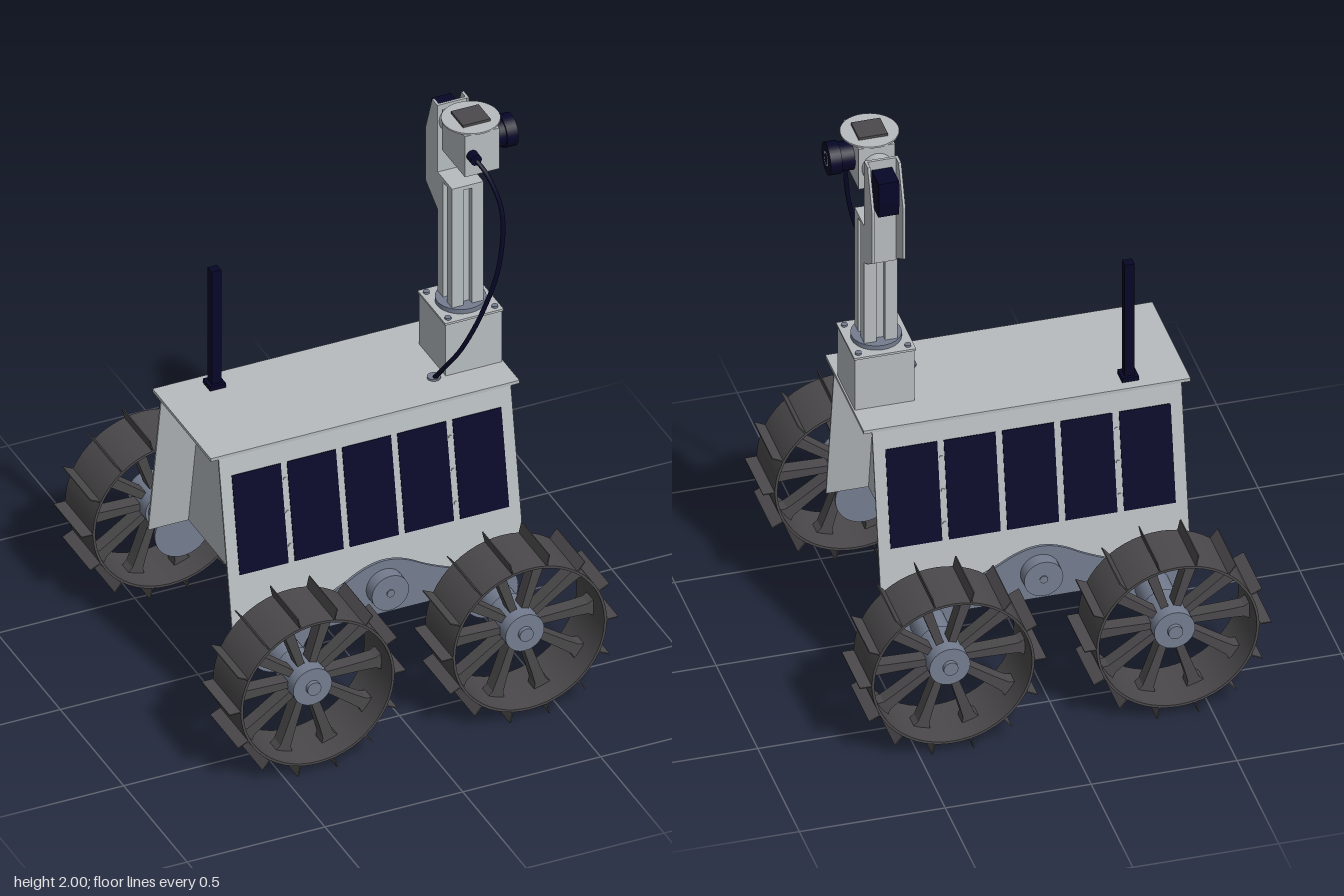
import * as THREE from 'three';

const mat = (name, color, side = THREE.FrontSide) => {
  const m = new THREE.MeshStandardMaterial({ color, side });
  m.name = name;
  return m;
};

export function createModel() {
  const grey = mat('light grey metal', 0xb7bcbf);
  const steel = mat('blue grey steel', 0x747d90);
  const rubber = mat('dark wheel grey', 0x4b494b, THREE.DoubleSide);
  const navy = mat('dark navy', 0x060628);

  const model = new THREE.Group();
  model.name = 'rover';

  // Helpers
  const add = (parent, name, geo, material, x = 0, y = 0, z = 0) => {
    const m = new THREE.Mesh(geo, material);
    m.name = name;
    m.position.set(x, y, z);
    parent.add(m);
    return m;
  };
  const group = (parent, name, x = 0, y = 0, z = 0) => {
    const g = new THREE.Group();
    g.name = name;
    g.position.set(x, y, z);
    parent.add(g);
    return g;
  };
  const box = (w, h, d) => new THREE.BoxGeometry(w, h, d);
  const cylY = (r, h, n = 32) => new THREE.CylinderGeometry(r, r, h, n);
  const cylZ = (r, z0, z1, n = 32) => cylY(r, z1 - z0, n).rotateX(Math.PI / 2).translate(0, 0, (z0 + z1) / 2);
  const cylX = (r, x0, x1, n = 32) => cylY(r, x1 - x0, n).rotateZ(-Math.PI / 2).translate((x0 + x1) / 2, 0, 0);
  const poly = (pts) => new THREE.Shape(pts.map(([a, b]) => new THREE.Vector2(a, b)));
  const extrude = (shape, depth) => new THREE.ExtrudeGeometry(shape, { depth, bevelEnabled: false, curveSegments: 20 });
  // Profile given as (z, y), extruded along x and centred
  const extrudeX = (pts, depth) =>
    extrude(poly(pts.map(([z, y]) => [-z, y])), depth).rotateY(Math.PI / 2).translate(-depth / 2, 0, 0);

  // Body with recessed end walls, and an overhanging lid
  const body = group(model, 'body');
  add(body, 'hull', extrudeX([[0.33, 0.385], [0.221, 1.003], [-0.221, 1.003], [-0.33, 0.385]], 0.77), grey);
  add(body, 'lid', box(1.12, 0.012, 0.46), grey, 0, 1.005, 0);
  // Braces under the lid overhang below the mast
  for (const z of [-0.085, 0, 0.085])
    add(body, 'gusset', extrude(poly([[0.383, 0.835], [0.53, 1], [0.383, 1]]), 0.008), grey, 0, 0, z - 0.004);

  // Suspension plate outline
  const rocker = new THREE.Shape();
  rocker.moveTo(-0.24, 0.34);
  rocker.lineTo(0.24, 0.34);
  rocker.quadraticCurveTo(0.28, 0.34, 0.3, 0.265);
  rocker.absarc(0.385, 0.315, 0.1, -2.6, 1.75, false);
  rocker.quadraticCurveTo(0.24, 0.44, 0.13, 0.5);
  rocker.quadraticCurveTo(0.06, 0.545, 0, 0.545);
  rocker.quadraticCurveTo(-0.06, 0.545, -0.13, 0.5);
  rocker.quadraticCurveTo(-0.24, 0.44, -0.367, 0.413);
  rocker.absarc(-0.385, 0.315, 0.1, Math.PI - 1.75, Math.PI + 2.6, false);
  rocker.quadraticCurveTo(-0.28, 0.34, -0.24, 0.34);

  const rimGeo = new THREE.CylinderGeometry(0.279, 0.279, 0.22, 56, 1, true).rotateX(Math.PI / 2);
  const rimInner = new THREE.CylinderGeometry(0.27, 0.27, 0.22, 56, 1, true).rotateX(Math.PI / 2);
  const rimEdge = new THREE.RingGeometry(0.27, 0.279, 56);
  const spokeGeo = extrude(poly([[0.06, -0.013], [0.2, -0.017], [0.25, -0.02], [0.274, -0.033],
    [0.274, 0.033], [0.25, 0.02], [0.2, 0.017], [0.06, 0.013]]), 0.05).translate(0, 0, -0.025);

  // Wheel with thin rim, ten spokes and fourteen treads
  const wheel = (parent, x) => {
    const w = group(parent, 'wheel', x, 0.315, 0.583);
    add(w, 'rim', rimGeo, rubber);
    add(w, 'rimInside', rimInner, rubber);
    for (const s of [-0.11, 0.11]) add(w, 'rimEdge', rimEdge, rubber, 0, 0, s);
    for (let i = 0; i < 10; i++) add(w, 'spoke', spokeGeo, rubber).rotation.z = i * Math.PI / 5;
    for (let i = 0; i < 14; i++) {
      const a = i * Math.PI / 7;
      add(w, 'tread', box(0.044, 0.004, 0.22), rubber, 0.298 * Math.cos(a), 0.298 * Math.sin(a)).rotation.z = a;
    }
    add(w, 'hub', cylZ(0.07, -0.07, 0.07), steel);
    add(w, 'hubCap', cylZ(0.025, 0.07, 0.085, 20), steel);
    add(w, 'wheelMotor', cylZ(0.06, -0.205, -0.07), steel);
  };

  // Side sheets, panels, suspension and wheels, repeated on both sides
  const slope = Math.atan2(0.109, 0.618);
  for (const [name, turn] of [['frontSide', 0], ['backSide', Math.PI]]) {
    const side = group(model, name);
    side.rotation.y = turn;
    add(side, 'sideSheet', extrudeX([[0.335, 0.385], [0.226, 1.003], [0.218, 1.003], [0.327, 0.385]], 1.06), grey);
    const face = group(side, 'solarArray', 0, 0.7525, 0.2702);
    face.rotation.x = -slope;
    for (let i = -2; i <= 2; i++) add(face, 'solarPanel', box(0.177, 0.361, 0.003), navy, i * 0.2, 0, 0.0015);
    for (const x of [-0.3, 0.3])
      for (const y of [-0.12, 0, 0.12]) add(face, 'panelBolt', cylZ(0.007, 0, 0.004, 10), grey, x, y, 0);
    add(side, 'rockerPlate', extrude(rocker, 0.01), steel, 0, 0, 0.373);
    add(side, 'pivotAxle', cylZ(0.017, 0.3, 0.38, 20), steel, 0, 0.445);
    add(side, 'pivotFlange', cylZ(0.03, 0.31, 0.333, 20), steel, 0, 0.445);
    add(side, 'pivotHub', cylZ(0.067, 0.38, 0.43), steel, 0, 0.445);
    add(side, 'pivotCap', cylZ(0.014, 0.43, 0.434, 16), steel, 0, 0.445);
    for (const x of [-0.385, 0.385]) wheel(side, x);
  }

  // Antenna
  const antenna = group(model, 'antenna', -0.365, 0, -0.165);
  add(antenna, 'antennaBase', box(0.058, 0.016, 0.058), navy, 0, 1.019, 0);
  add(antenna, 'antennaRod', box(0.034, 0.45, 0.034), navy, 0, 1.246, 0);

  // Mast base and slotted column
  const mast = group(model, 'mast', 0.452);
  add(mast, 'mastBase', box(0.205, 0.205, 0.21), grey, 0, 1.113, 0);
  add(mast, 'basePlate', box(0.212, 0.008, 0.218), grey, 0, 1.217, 0);
  for (const x of [-0.085, 0.085])
    for (const z of [-0.085, 0.085]) add(mast, 'baseBolt', cylY(0.011, 0.008, 12), steel, x, 1.224, z);
  add(mast, 'turntable', cylY(0.085, 0.018), steel, 0, 1.229, 0);
  const slot = [];
  for (let i = 0; i < 4; i++) {
    const c = Math.cos(i * Math.PI / 2), s = Math.sin(i * Math.PI / 2);
    for (const [a, b] of [[0.057, -0.057], [0.057, -0.015], [0.035, -0.015], [0.035, 0.015], [0.057, 0.015]])
      slot.push([a * c - b * s, a * s + b * c]);
  }
  add(mast, 'column', extrude(poly(slot), 0.46).rotateX(-Math.PI / 2), grey, 0, 1.235, 0);
  add(mast, 'columnCap', box(0.114, 0.015, 0.114), grey, 0, 1.7, 0);

  // Channel bracket and tilt motor
  const cheek = [[-0.057, 1.56], [-0.153, 1.62], [-0.153, 1.825], [-0.1, 1.97], [-0.057, 1.97]];
  for (const x of [-0.053, 0.053]) add(mast, 'bracketCheek', extrudeX(cheek, 0.009), grey, x);
  add(mast, 'bracketWeb', box(0.1, 0.41, 0.01), grey, 0, 1.765, -0.063);
  add(mast, 'tiltMotor', extrudeX([[-0.068, 1.8], [-0.15, 1.8], [-0.16, 1.86], [-0.155, 1.935], [-0.068, 1.935]], 0.07), navy);

  // Camera head
  const head = group(mast, 'cameraHead', 0, 1.905, 0.08);
  add(head, 'headBox', box(0.125, 0.16, 0.18), grey);
  add(head, 'headTop', cylY(0.098, 0.006, 40), grey, 0, 0.083, 0);
  add(head, 'topSensor', box(0.1, 0.009, 0.095), rubber, 0, 0.0905, 0);
  add(head, 'tiltJoint', cylZ(0.052, -0.14, -0.09), grey);
  add(head, 'lensBarrel', cylX(0.05, 0.06, 0.11), navy);
  add(head, 'lensHood', cylX(0.057, 0.108, 0.148), navy);
  add(head, 'lensRing', new THREE.RingGeometry(0.021, 0.025, 32).rotateY(Math.PI / 2), grey, 0.149);
  add(head, 'cablePlug', cylZ(0.02, 0.09, 0.125, 16), navy, -0.037);

  // Cable from the head down to the lid
  const path = new THREE.CatmullRomCurve3([
    [0.415, 1.905, 0.195], [0.44, 1.86, 0.235], [0.474, 1.73, 0.277], [0.455, 1.53, 0.295],
    [0.405, 1.36, 0.28], [0.352, 1.19, 0.225], [0.32, 1.08, 0.155], [0.31, 1.01, 0.1],
  ].map((p) => new THREE.Vector3(...p)));
  add(model, 'cable', new THREE.TubeGeometry(path, 60, 0.008, 10), navy);
  add(model, 'cableSocket', cylY(0.023, 0.008, 20), steel, 0.31, 1.014, 0.098);

  return model;
}
